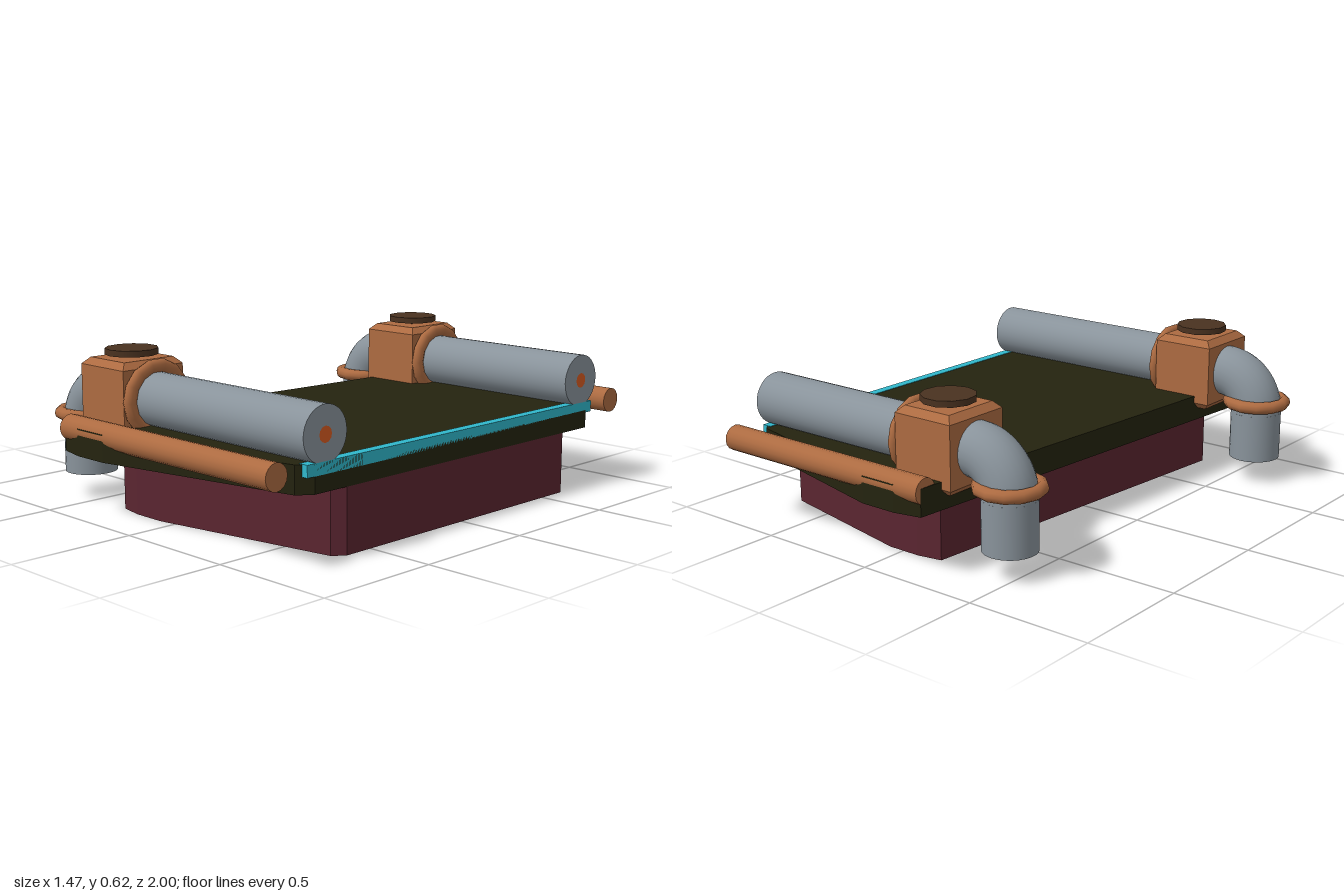
import * as THREE from 'three';

const mat = (name, color) => {
  const m = new THREE.MeshStandardMaterial({ color });
  m.name = name;
  return m;
};

export function createModel() {
  const model = new THREE.Group();
  model.name = 'pipedPlatform';

  const steel = mat('steelGrey', 0x89939b);
  const copper = mat('copper', 0xad6b41);
  const olive = mat('darkOlive', 0x24230f);
  const maroon = mat('maroon', 0x5a2530);
  const cyan = mat('cyan', 0x30b8cc);
  const brown = mat('darkBrown', 0x4a3220);
  const orange = mat('glowOrange', 0xd85a20);

  const add = (parent, name, geometry, material, x = 0, y = 0, z = 0) => {
    const mesh = new THREE.Mesh(geometry, material);
    mesh.name = name;
    mesh.position.set(x, y, z);
    parent.add(mesh);
    return mesh;
  };

  // Upright prism from a plan outline of [x, z] points
  const prism = (points, height) => {
    const shape = new THREE.Shape(points.map(([x, z]) => new THREE.Vector2(x, -z)));
    return new THREE.ExtrudeGeometry(shape, { depth: height, bevelEnabled: false }).rotateX(-Math.PI / 2);
  };

  // Plan outline: the rear half mirrors the front, its outer end moved inward
  const front = [[-0.41, 0.975], [-0.3, 0.998], [-0.15, 0.998], [0.69, 0.83], [0.73, 0.775]];
  const rear = front.map(([x, z]) => [x < 0 ? x + 0.15 : x, -z]).reverse();
  const outline = [...front, ...rear];
  const baseOutline = outline.map(([x, z]) => [0.73 - (0.73 - x) * 0.912, z * 0.8]);

  add(model, 'deck', prism(outline, 0.105), olive, 0, 0.245, 0);
  add(model, 'base', prism(baseOutline, 0.245), maroon);
  add(model, 'edgeStrip', new THREE.BoxGeometry(0.04, 0.045, 1.62), cyan, 0.71, 0.3295, 0);

  // Horizontal cylinder running from x0 to x1
  const bar = (r, x0, x1, sides) =>
    new THREE.CylinderGeometry(r, r, x1 - x0, sides).rotateZ(Math.PI / 2).translate((x0 + x1) / 2, 0, 0);

  // Valve body with chamfered edges all round
  const chamferBox = (w, h, d, c) => {
    const a = w / 2 - c, b = d / 2 - c;
    const s = new THREE.Shape([[-a, -b], [a, -b], [a, b], [-a, b]].map(p => new THREE.Vector2(...p)));
    const g = new THREE.ExtrudeGeometry(s, {
      depth: h - 2 * c, bevelEnabled: true, bevelThickness: c, bevelSize: c, bevelSegments: 1,
    });
    return g.rotateX(-Math.PI / 2).translate(0, c, 0);
  };

  const r = 0.104, bend = 0.15, axisY = 0.445;
  for (const side of [
    { name: 'front', z: 0.725, valveX: -0.315, railX: -0.41, railZ: 0.95 },
    { name: 'rear', z: -0.732, valveX: -0.18, railX: -0.26, railZ: -0.95 },
  ]) {
    // Edge rail
    add(model, side.name + 'Rail', bar(0.05, side.railX, 0.73, 16), copper, 0, 0.335, side.railZ);

    const pipe = new THREE.Group();
    pipe.name = side.name + 'PipeAssembly';
    pipe.position.z = side.z;
    model.add(pipe);

    // Straight run, elbow and downspout
    const vx = side.valveX;
    const elbowX = vx - 0.13;
    const downX = elbowX - bend;
    add(pipe, 'straightPipe', bar(r, elbowX, 0.73, 32), steel, 0, axisY, 0);
    add(pipe, 'elbow', new THREE.TorusGeometry(bend, r, 24, 16, Math.PI / 2).rotateZ(Math.PI / 2),
      steel, elbowX, axisY - bend, 0);
    add(pipe, 'downPipe', new THREE.CylinderGeometry(r, r, 0.195, 32), steel, downX, 0.1975, 0);

    // Glowing cores at the open ends
    add(pipe, 'lowerGlow', new THREE.CircleGeometry(0.06, 16).rotateX(Math.PI / 2), orange, downX, 0.098, 0);
    add(pipe, 'endGlow', new THREE.CircleGeometry(0.03, 12).rotateY(Math.PI / 2), orange, 0.732, axisY, 0);

    // Collars on the downspout and beside the valve
    add(pipe, 'lowerCollar', new THREE.TorusGeometry(0.115, 0.025, 10, 12).rotateX(Math.PI / 2),
      copper, downX, 0.337, 0);
    add(pipe, 'valveCollar', new THREE.TorusGeometry(0.128, 0.027, 10, 14).rotateY(Math.PI / 2),
      copper, vx + 0.148, axisY, 0).scale.x = 0.8;

    // Valve body and hand wheel
    add(pipe, 'valveBody', chamferBox(0.26, 0.295, 0.285, 0.026), copper, vx, 0.295, 0);
    add(pipe, 'wheelStem', new THREE.CylinderGeometry(0.03, 0.03, 0.03, 10), brown, vx, 0.6, 0);
    add(pipe, 'handWheel', new THREE.CylinderGeometry(0.103, 0.103, 0.024, 11), brown, vx, 0.613, 0);
  }

  return model;
}
